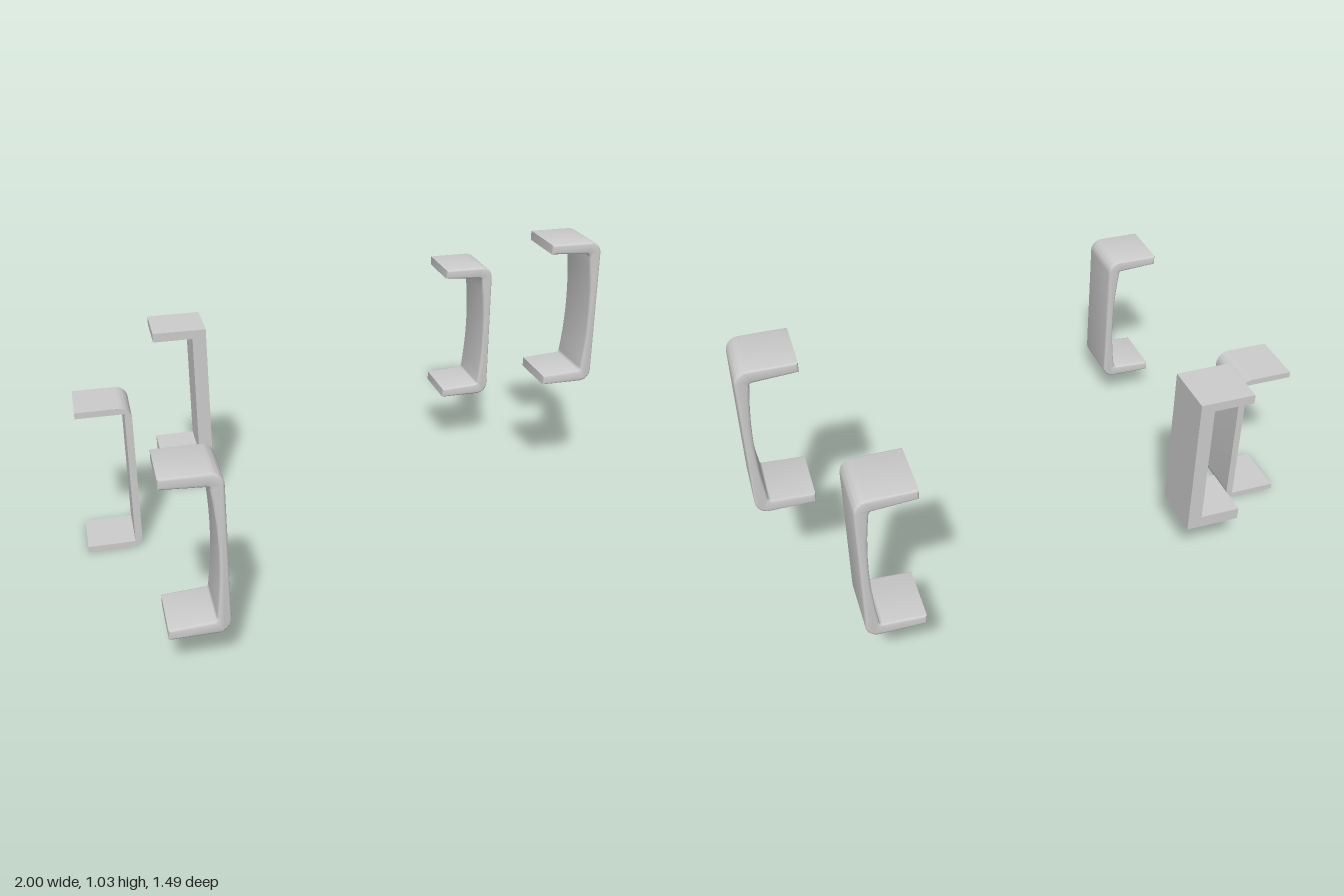
import * as THREE from 'three';
import { toCreasedNormals } from 'three/addons/utils/BufferGeometryUtils.js';

const material = new THREE.MeshStandardMaterial({ color: 0xcccccc, side: THREE.DoubleSide });

// C-shaped bracket outline, open toward -x, between (x0, y0) and (x1, y1)
function bracketShape({ x: [x0, x1], y: [y0, y1], web, top, bottom, radius = 0, bow = 0 }) {
  const s = new THREE.Shape();
  const xi = x1 - web;
  s.moveTo(x0, y0);
  if (radius) {
    s.lineTo(x1 - radius, y0);
    s.absarc(x1 - radius, y0 + radius, radius, -Math.PI / 2, 0);
    s.lineTo(x1, y1 - radius);
    s.absarc(x1 - radius, y1 - radius, radius, 0, Math.PI / 2);
  } else {
    s.lineTo(x1, y0);
    s.lineTo(x1, y1);
  }
  s.lineTo(x0, y1);
  s.lineTo(x0, y1 - top);
  if (bow) {
    // flanges thicken toward the web, and the web thins toward its middle
    const t = y1 - top - 0.009, b = y0 + bottom + 0.009, f = 0.012;
    s.lineTo(xi - f, t);
    s.quadraticCurveTo(xi, t, xi, t - f);
    s.quadraticCurveTo(xi + bow * 2, (t + b) / 2, xi, b + f);
    s.quadraticCurveTo(xi, b, xi - f, b);
  } else {
    s.lineTo(xi, y1 - top);
    s.lineTo(xi, y0 + bottom);
  }
  s.lineTo(x0, y0 + bottom);
  s.closePath();
  return s;
}

function bracket(name, spec) {
  const [z0, z1] = spec.z;
  const bevel = spec.bevel || 0;
  const geometry = new THREE.ExtrudeGeometry(bracketShape(spec), {
    depth: z1 - z0 - 2 * bevel,
    bevelEnabled: bevel > 0,
    bevelSize: bevel,
    bevelThickness: bevel,
    bevelOffset: -bevel,
    bevelSegments: 3,
    curveSegments: 10,
  });
  geometry.translate(0, 0, z0 + bevel);
  const mesh = new THREE.Mesh(toCreasedNormals(geometry, 0.6), material);
  mesh.name = name;
  return mesh;
}

export function createModel() {
  const group = new THREE.Group();
  group.name = 'brackets';

  // Plain square-cornered bracket
  group.add(bracket('squareBracket', {
    x: [-0.685, -0.485], y: [0.173, 0.733], z: [-0.53, -0.33], web: 0.052, top: 0.034, bottom: 0.046,
  }));

  // Thin bracket with rounded outer corners
  group.add(bracket('roundedBracket', {
    x: [-1, -0.8], y: [0, 0.57], z: [-0.247, -0.045], web: 0.026, top: 0.023, bottom: 0.023, radius: 0.045,
  }));

  // Three softened brackets with a bowed inner face
  const softened = [
    ['frontSoftBracket', -0.785, 0.115, 0.53],
    ['backSoftBracket', 0.543, 0.25, -0.745],
    ['sideSoftBracket', 0.8, 0.467, -0.297],
  ];
  for (const [name, x, y, z] of softened) {
    group.add(bracket(name, {
      x: [x, x + 0.2], y: [y, y + 0.568], z: [z, z + 0.215],
      web: 0.045, top: 0.036, bottom: 0.036, radius: 0.045, bow: 0.016, bevel: 0.008,
    }));
  }
  return group;
}
